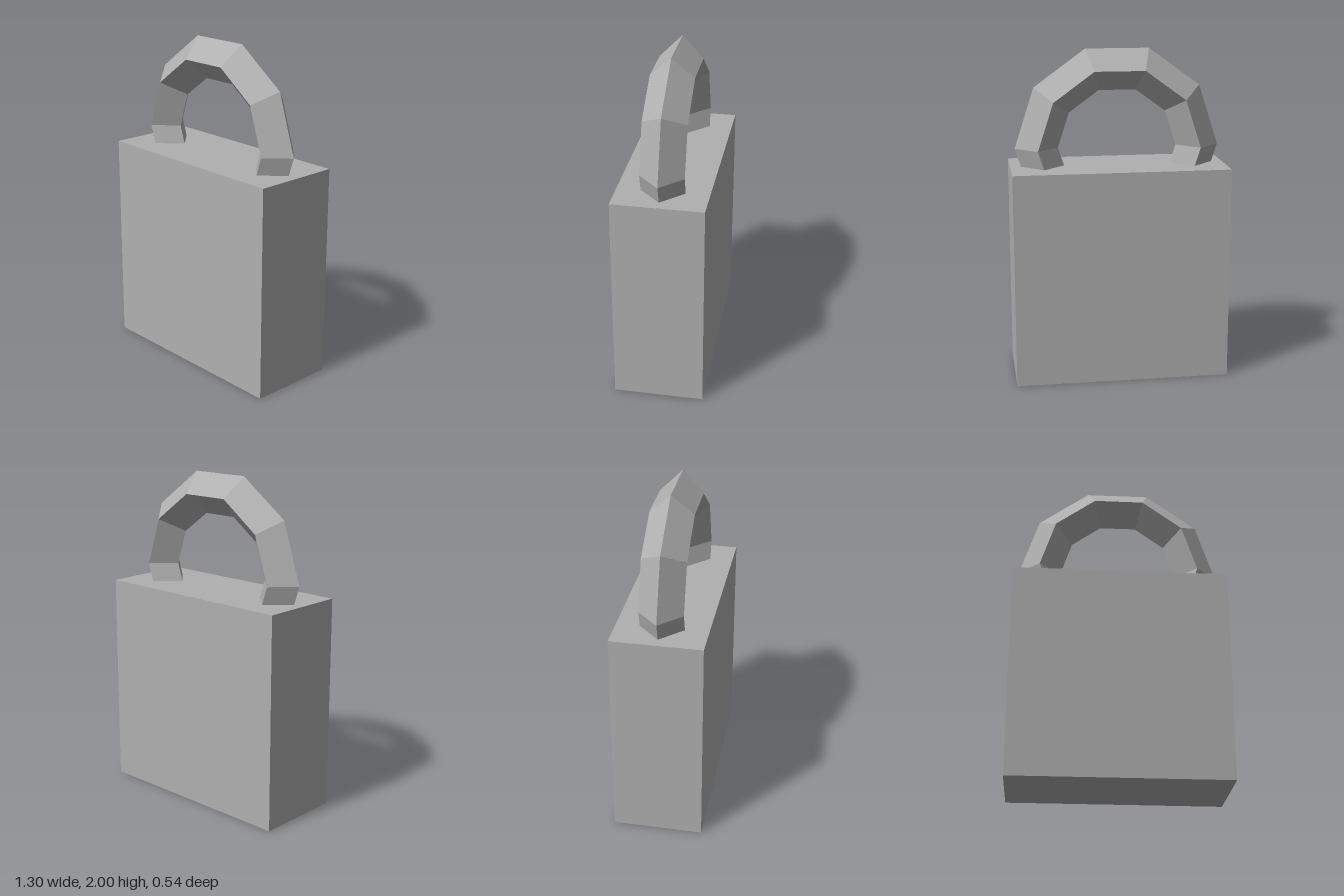
import * as THREE from 'three';

export function createModel() {
  const model = new THREE.Group();
  model.name = 'padlock';

  const steel = new THREE.MeshStandardMaterial({ color: 0xb0b0b0, flatShading: true });
  steel.name = 'grey steel';

  // Solid block body
  const bodyHeight = 1.3;
  const body = new THREE.Mesh(new THREE.BoxGeometry(1.3, bodyHeight, 0.54), steel);
  body.name = 'body';
  body.position.y = bodyHeight / 2;
  model.add(body);

  // Diamond-section shackle: seven 36 degree segments, with both ends sunk in the body
  const step = Math.PI / 5;
  const shackle = new THREE.Mesh(new THREE.TorusGeometry(0.49, 0.13, 4, 7, step * 7), steel);
  shackle.name = 'shackle';
  shackle.position.y = 1.41;
  shackle.rotation.z = -step;
  model.add(shackle);

  return model;
}
